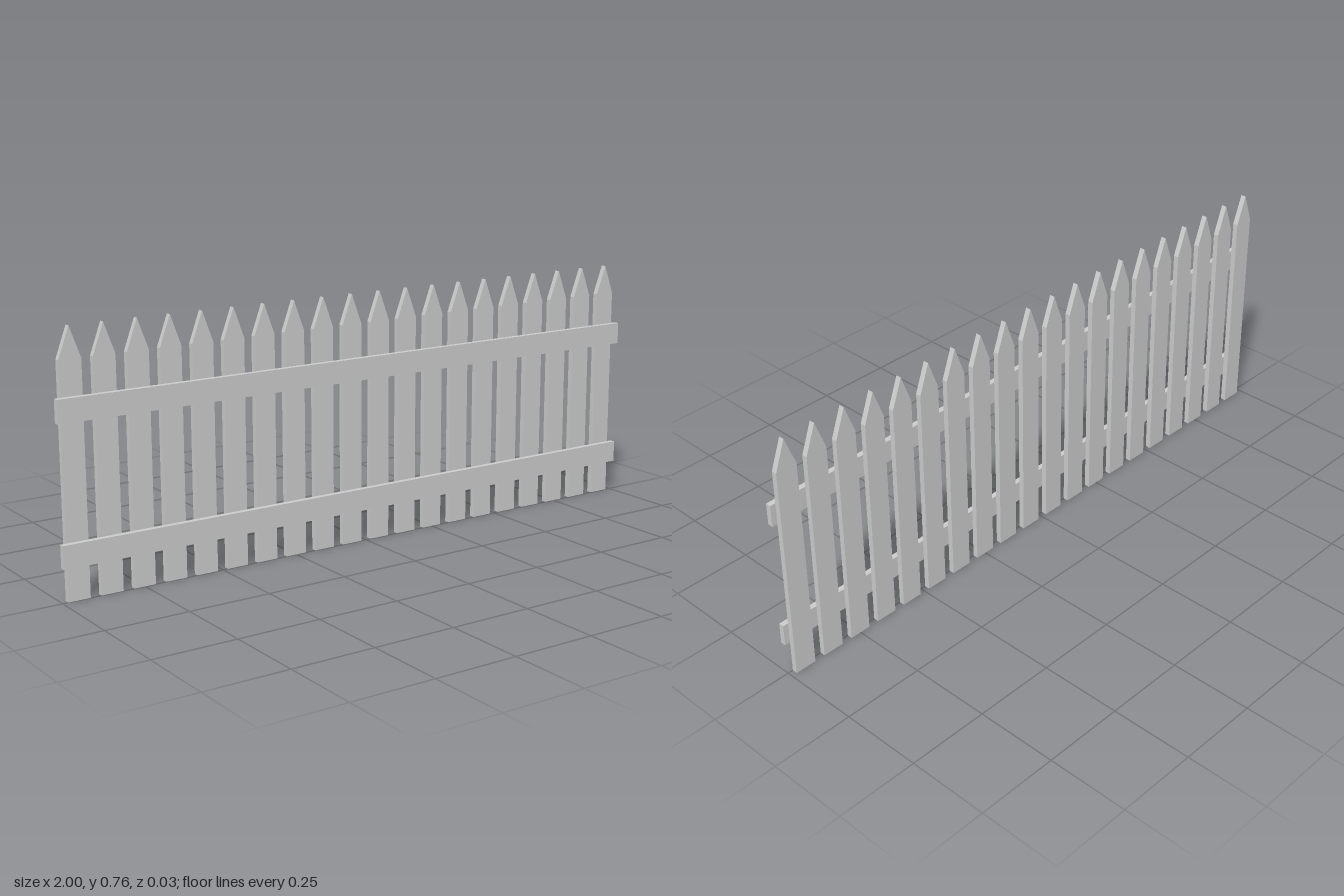
import * as THREE from 'three';

export function createModel() {
  const group = new THREE.Group();
  const material = new THREE.MeshStandardMaterial({ color: 0xcccccc, flatShading: true });
  const thickness = 0.0167;
  const boardWidth = 0.0667;

  // Pointed picket outline, extruded backwards from z = 0
  const half = boardWidth / 2;
  const outline = new THREE.Shape([
    new THREE.Vector2(-half, 0),
    new THREE.Vector2(half, 0),
    new THREE.Vector2(half, 0.667),
    new THREE.Vector2(0, 0.757),
    new THREE.Vector2(-half, 0.667),
  ]);
  const picketGeometry = new THREE.ExtrudeGeometry(outline, { depth: thickness, bevelEnabled: false });
  picketGeometry.translate(0, 0, -thickness);

  // Row of evenly spaced pickets
  const count = 20;
  const spacing = 0.1;
  for (let i = 0; i < count; i++) {
    const picket = new THREE.Mesh(picketGeometry, material);
    picket.name = `picket${i + 1}`;
    picket.position.x = (i - (count - 1) / 2) * spacing;
    group.add(picket);
  }

  // Two horizontal rails across the front of the pickets
  const railGeometry = new THREE.BoxGeometry(2, boardWidth, thickness);
  for (const [name, bottom] of [['lowerRail', 0.1], ['upperRail', 0.5]]) {
    const rail = new THREE.Mesh(railGeometry, material);
    rail.name = name;
    rail.position.set(0, bottom + boardWidth / 2, thickness / 2);
    group.add(rail);
  }

  group.name = 'picketFence';
  return group;
}
